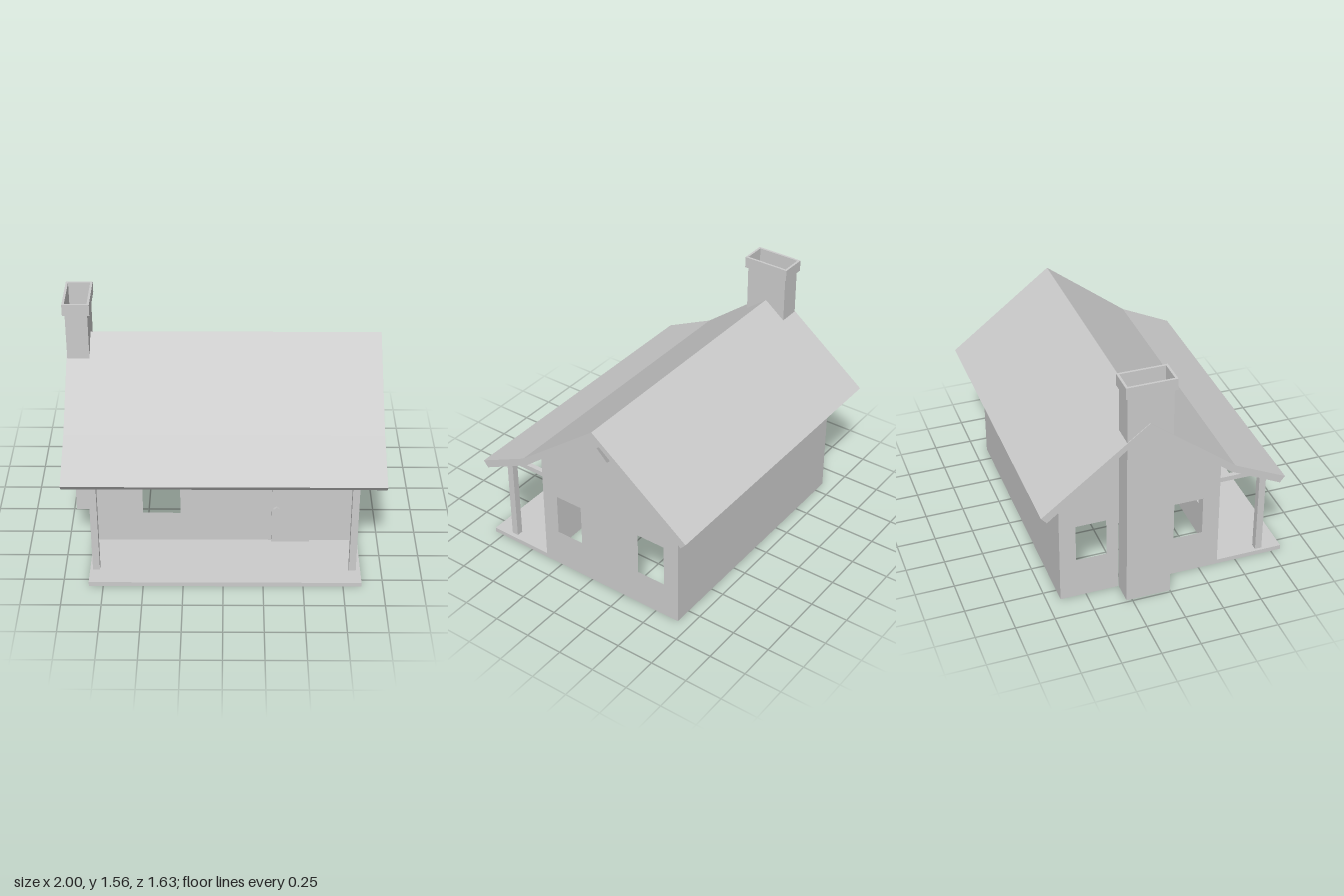
import * as THREE from 'three';

const solid = new THREE.MeshStandardMaterial({ color: 0xcccccc, flatShading: true });
const sheet = new THREE.MeshStandardMaterial({ color: 0xcccccc, flatShading: true, side: THREE.DoubleSide });

// House extents
const L = -0.84, R = 0.865, F = 0.375, B = -0.665, EAVE = 0.82;
const RIDGE_Z = -0.145, RIDGE_Y = 1.245;
// Chimney extents
const CX0 = -0.985, CX1 = -0.845, CZ0 = -0.285, CZ1 = 0, CAP_Y = 1.485;

const toPoints = (pts) => pts.map(([a, b]) => new THREE.Vector2(a, b));
const rect = (a0, b0, a1, b1) => [[a0, b0], [a1, b0], [a1, b1], [a0, b1]];

function shapeOf(outline, holes = []) {
  const shape = new THREE.Shape(toPoints(outline));
  holes.forEach((h) => shape.holes.push(new THREE.Path(toPoints(h))));
  return shape;
}

// Profiles given as [z, y] are mirrored so that a quarter turn puts them in the side plane
const side = (pts) => pts.map(([z, y]) => [-z, y]);

export function createModel() {
  const model = new THREE.Group();
  model.name = 'cabin';

  const add = (name, geometry, material = solid, parent = model) => {
    const mesh = new THREE.Mesh(geometry, material);
    mesh.name = name;
    parent.add(mesh);
    return mesh;
  };
  const box = (name, x0, x1, y0, y1, z0, z1) =>
    add(name, new THREE.BoxGeometry(x1 - x0, y1 - y0, z1 - z0)
      .translate((x0 + x1) / 2, (y0 + y1) / 2, (z0 + z1) / 2));
  const frontSheet = (name, z, outline, holes, parent) =>
    add(name, new THREE.ShapeGeometry(shapeOf(outline, holes)).translate(0, 0, z), sheet, parent);
  const sideSheet = (name, x, outline, holes = [], parent) =>
    add(name, new THREE.ShapeGeometry(shapeOf(side(outline), holes.map(side)))
      .rotateY(Math.PI / 2).translate(x, 0, 0), sheet, parent);

  // Thin walls with window, door and fireplace openings
  const doorway = rect(0.31, 0.03, 0.555, 0.615);
  frontSheet('frontWall', F, rect(L, 0, R, EAVE), [rect(-0.515, 0.245, -0.275, 0.55), doorway]);
  frontSheet('backWall', B, rect(L, 0, R, EAVE));

  const gableTop = [[F, EAVE], [RIDGE_Z, RIDGE_Y], [B, EAVE]];
  const gableWindow = [[-0.22, 1.06], [RIDGE_Z, 0.985], [-0.07, 1.06], [RIDGE_Z, 1.135]];
  sideSheet('leftGableWall', R, [[B, 0], [F, 0], ...gableTop],
    [rect(0.075, 0.26, 0.265, 0.54), rect(-0.56, 0.245, -0.365, 0.535), gableWindow]);
  sideSheet('rightGableWall', L,
    [[B, 0], [CZ0, 0], [CZ0, 0.6], [CZ1, 0.6], [CZ1, 0], [F, 0], ...gableTop],
    [rect(0.075, 0.28, 0.265, 0.54), rect(-0.56, 0.28, -0.365, 0.535)]);

  // Roof slab with a shallower slope over the porch
  const roofProfile = [
    [-0.815, 0.77], [RIDGE_Z, 1.285], [0.4, 0.86], [0.735, 0.7],
    [0.703, 0.66], [F, EAVE], [RIDGE_Z, RIDGE_Y], [-0.78, 0.73],
  ];
  add('roof', new THREE.ExtrudeGeometry(shapeOf(side(roofProfile)), { depth: 1.99, bevelEnabled: false })
    .rotateY(Math.PI / 2).translate(-0.99, 0, 0));

  // Chimney: open flue, its inner side starting within the roof
  const chimney = new THREE.Group();
  chimney.name = 'chimney';
  model.add(chimney);
  const flueFace = rect(CX0, 0, CX1, CAP_Y);
  frontSheet('chimneyFront', CZ1, flueFace, [], chimney);
  frontSheet('chimneyBack', CZ0, flueFace, [], chimney);
  sideSheet('chimneyOuterSide', CX0, rect(CZ0, 0, CZ1, CAP_Y), [], chimney);
  sideSheet('chimneyInnerSide', CX1, rect(CZ0, 1.12, CZ1, CAP_Y), [], chimney);
  const m = 0.015;
  const capShape = shapeOf(rect(CX0 - m, -CZ1 - m, CX1 + m, -CZ0 + m), [rect(CX0, -CZ1, CX1, -CZ0)]);
  add('chimneyCap', new THREE.ExtrudeGeometry(capShape, { depth: 0.075, bevelEnabled: false })
    .rotateX(-Math.PI / 2).translate(0, CAP_Y, 0), solid, chimney);

  // Porch floor, posts and the rails tying them to the wall
  box('porchFloor', L, R, 0, 0.03, F, 0.815);
  for (const x of [-0.8, 0.815]) {
    box('porchPost', x - 0.022, x + 0.022, 0.03, 0.685, 0.647, 0.691);
    box('porchRail', x - 0.016, x + 0.016, 0.618, 0.65, F - 0.002, 0.647);
  }

  // Door with a five-sided knob
  box('door', 0.31, 0.555, 0.03, 0.615, F, 0.391);
  const knob = (name, r, z0, z1) =>
    add(name, new THREE.CylinderGeometry(r, r, z1 - z0, 5).rotateX(Math.PI / 2)
      .rotateZ(Math.PI).translate(0.34, 0.295, (z0 + z1) / 2));
  knob('doorKnobStem', 0.01, 0.391, 0.398);
  knob('doorKnob', 0.02, 0.397, 0.415);

  return model;
}
